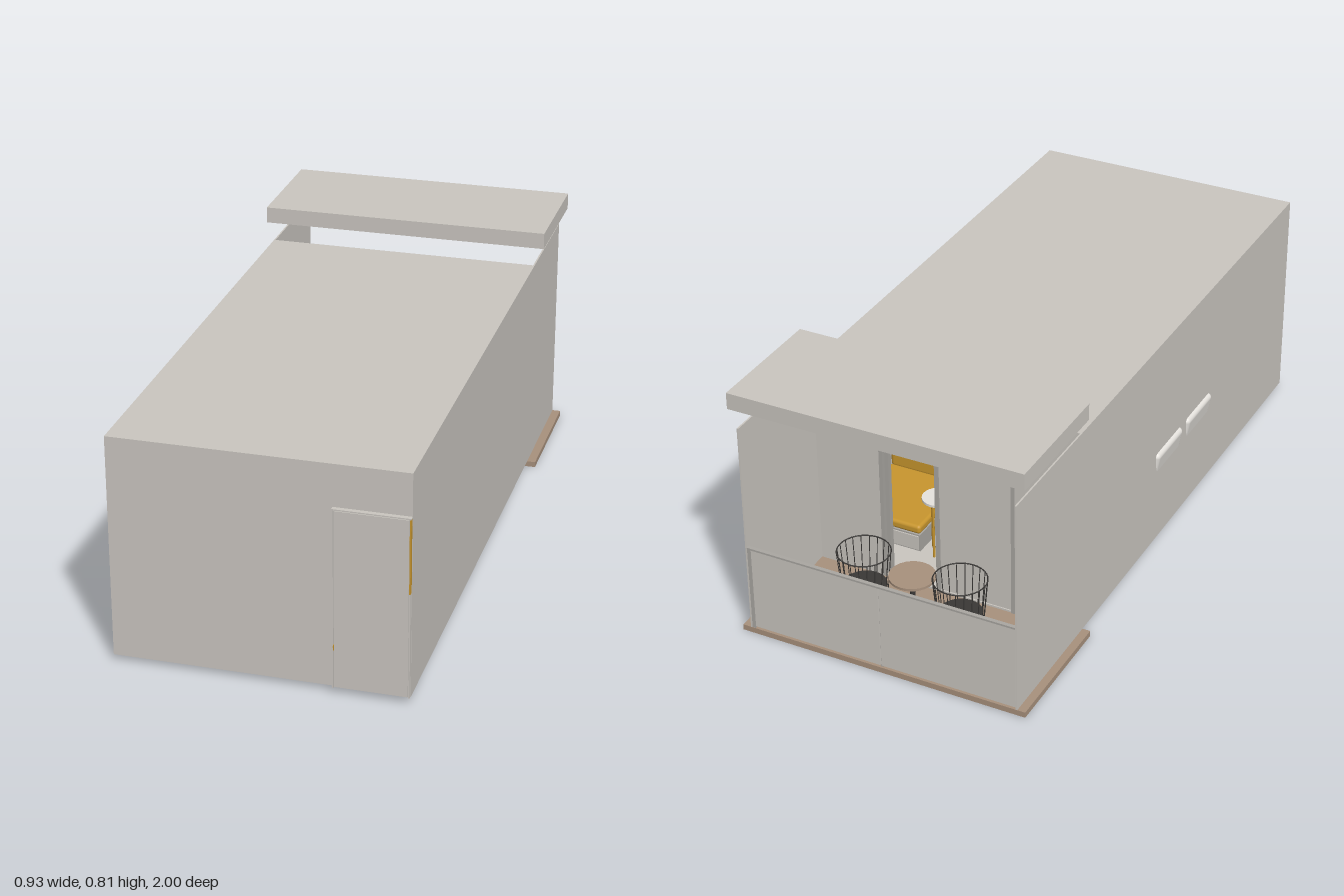
import * as THREE from 'three';
import { RoundedBoxGeometry } from 'three/addons/geometries/RoundedBoxGeometry.js';

const mat = (name, color) => Object.assign(new THREE.MeshStandardMaterial({ color }), { name });

export function createModel() {
  const wall = mat('wall grey', 0xcac6c0);
  const wood = mat('deck brown', 0xa8917d);
  const white = mat('linen white', 0xe6e3de);
  const ochre = mat('ochre', 0xc8962e);
  const dark = mat('dark metal', 0x3a3836);
  const frame = mat('frame grey', 0xaaa7a2);

  const root = new THREE.Group();
  root.name = 'hotelRoom';
  const add = (name, geo, m, parent = root) => {
    const mesh = new THREE.Mesh(geo, m);
    mesh.name = name;
    parent.add(mesh);
    return mesh;
  };
  // box given by its minimum and maximum on each axis
  const box = (name, m, x0, x1, y0, y1, z0, z1, parent) => {
    const b = add(name, new THREE.BoxGeometry(x1 - x0, y1 - y0, z1 - z0), m, parent);
    b.position.set((x0 + x1) / 2, (y0 + y1) / 2, (z0 + z1) / 2);
    return b;
  };
  const cyl = (name, m, r, h, x, y, z, parent, sides = 24) => {
    const c = add(name, new THREE.CylinderGeometry(r, r, h, sides), m, parent);
    c.position.set(x, y, z);
    return c;
  };
  const ring = (name, m, r, tube, x, y, z, parent) => {
    const t = add(name, new THREE.TorusGeometry(r, tube, 6, 32), m, parent);
    t.rotation.x = Math.PI / 2;
    t.position.set(x, y, z);
    return t;
  };

  const L = -0.44, R = 0.436, B = 0.018, T = 0.706, F = 0.986, D = -0.597;

  // shell
  box('floor', wall, L, R, B, B + 0.006, D, F);
  box('roof', wall, L, R, T - 0.01, T, D, F);
  box('rightWall', wall, L, L + 0.005, B, T, -1, F);
  box('leftWall', wall, R - 0.005, R, B, T, -1, F);
  box('frontWall', wall, L, R, B, T, F - 0.008, F);
  box('balconyDeck', wood, -0.465, 0.463, 0, B, -1, -0.575);
  box('canopy', wall, -0.465, 0.463, 0.763, 0.815, -1, -0.602);

  // entrance door
  box('doorPanel', wall, 0.218, 0.43, 0.022, 0.571, F, 0.999);
  box('doorJamb', wall, 0.212, 0.216, B, 0.577, F, 1);
  box('doorHead', wall, 0.212, R, 0.573, 0.577, F, 1);
  box('doorEdge', ochre, 0.431, 0.435, 0.345, 0.573, F, 0.998);
  box('doorEdgeLower', wall, 0.431, 0.435, B, 0.345, F, 0.998);
  box('doorLatch', ochre, 0.212, 0.217, 0.138, 0.155, F, 1);

  // balcony front: side panels, header and half-open sliding door
  box('header', wall, L, R, 0.655, T, D, D + 0.02);
  box('sidePanelLeft', wall, 0.22, R, B, 0.655, D, D + 0.012);
  box('sidePanelRight', wall, L, -0.22, B, 0.655, D, D + 0.012);
  box('slidingPanel', wall, -0.22, 0.02, B, 0.655, D + 0.004, D + 0.012);
  for (const x of [0.205, 0.185, 0.02, -0.23])
    box('doorStile', frame, x, x + 0.012, B, 0.655, D - 0.003, D + 0.014);

  // parapet with two panels
  for (const [x0, x1] of [[L + 0.006, -0.004], [0, R - 0.018]])
    box('parapetPanel', wall, x0, x1, 0.026, 0.296, -1, -0.993);
  box('parapetRail', frame, L + 0.005, R - 0.005, 0.296, 0.302, -1, -0.988);
  box('parapetPost', frame, R - 0.016, R - 0.005, B, 0.296, -0.999, -0.988);
  box('parapetMidPost', frame, -0.006, 0.002, B, 0.296, -0.994, -0.986);

  // wire chairs on the balcony
  for (const x of [0.16, -0.157]) {
    const chair = new THREE.Group();
    chair.name = 'wireChair';
    chair.position.set(x, 0, -0.8);
    root.add(chair);
    ring('chairRim', dark, 0.08, 0.002, 0, 0.25, 0, chair);
    ring('chairBase', dark, 0.06, 0.002, 0, 0.022, 0, chair);
    cyl('chairSeat', dark, 0.066, 0.008, 0, 0.13, 0, chair);
    for (let i = 0; i < 20; i++) {
      const a = i / 20 * Math.PI * 2, c = Math.cos(a), s = Math.sin(a);
      const path = new THREE.LineCurve3(
        new THREE.Vector3(0.06 * c, 0.022, 0.06 * s), new THREE.Vector3(0.08 * c, 0.25, 0.08 * s));
      add('chairWire', new THREE.TubeGeometry(path, 1, 0.0014, 5), dark, chair);
    }
  }
  // balcony table
  cyl('tableTop', wood, 0.07, 0.008, 0, 0.211, -0.8);
  cyl('tableStem', dark, 0.008, 0.19, 0, 0.113, -0.8);
  cyl('tableFoot', dark, 0.045, 0.006, 0, 0.021, -0.8);

  // daybed along the left wall
  box('daybedBase', frame, 0.17, 0.43, 0.026, 0.085, -0.45, 0.03);
  for (const x of [0.174, 0.302])
    box('drawerFront', wall, x, x + 0.124, 0.032, 0.08, -0.454, -0.45);
  const cushion = (name, m, w, h, d, x, y, z) => {
    const c = add(name, new RoundedBoxGeometry(w, h, d, 3, Math.min(w, h, d) * 0.35), m);
    c.position.set(x, y, z);
    return c;
  };
  cushion('daybedSeat', ochre, 0.26, 0.03, 0.28, 0.3, 0.1, -0.31);
  cushion('daybedBack', ochre, 0.26, 0.17, 0.04, 0.3, 0.185, -0.15);
  box('cabinet', white, 0.22, 0.43, 0.026, 0.55, 0.04, 0.12);
  for (let i = 0; i < 4; i++)
    box('cabinetLine', dark, 0.225, 0.425, 0.3 + i * 0.05, 0.304 + i * 0.05, 0.036, 0.04);

  // side table inside
  cyl('sideTableTop', white, 0.05, 0.008, 0.12, 0.22, -0.42);
  for (let i = 0; i < 3; i++) {
    const a = i / 3 * Math.PI * 2 + 0.5;
    cyl('sideTableLeg', ochre, 0.004, 0.19, 0.12 + 0.035 * Math.cos(a), 0.12, -0.42 + 0.035 * Math.sin(a), root, 8);
  }
  // lamp base set into the floor
  ring('floorRing', ochre, 0.04, 0.006, -0.09, 0.02, -0.43);

  // bed with two leaning pillows
  box('bedBase', wood, -0.43, 0.08, 0.03, 0.12, -0.11, 0.4);
  cushion('mattress', white, 0.5, 0.1, 0.5, -0.17, 0.17, 0.145);
  for (const z of [0.028, 0.255]) {
    const p = cushion('pillow', white, 0.045, 0.13, 0.19, -0.418, 0.268, z);
    p.rotation.z = 0.2;
  }
  return root;
}
